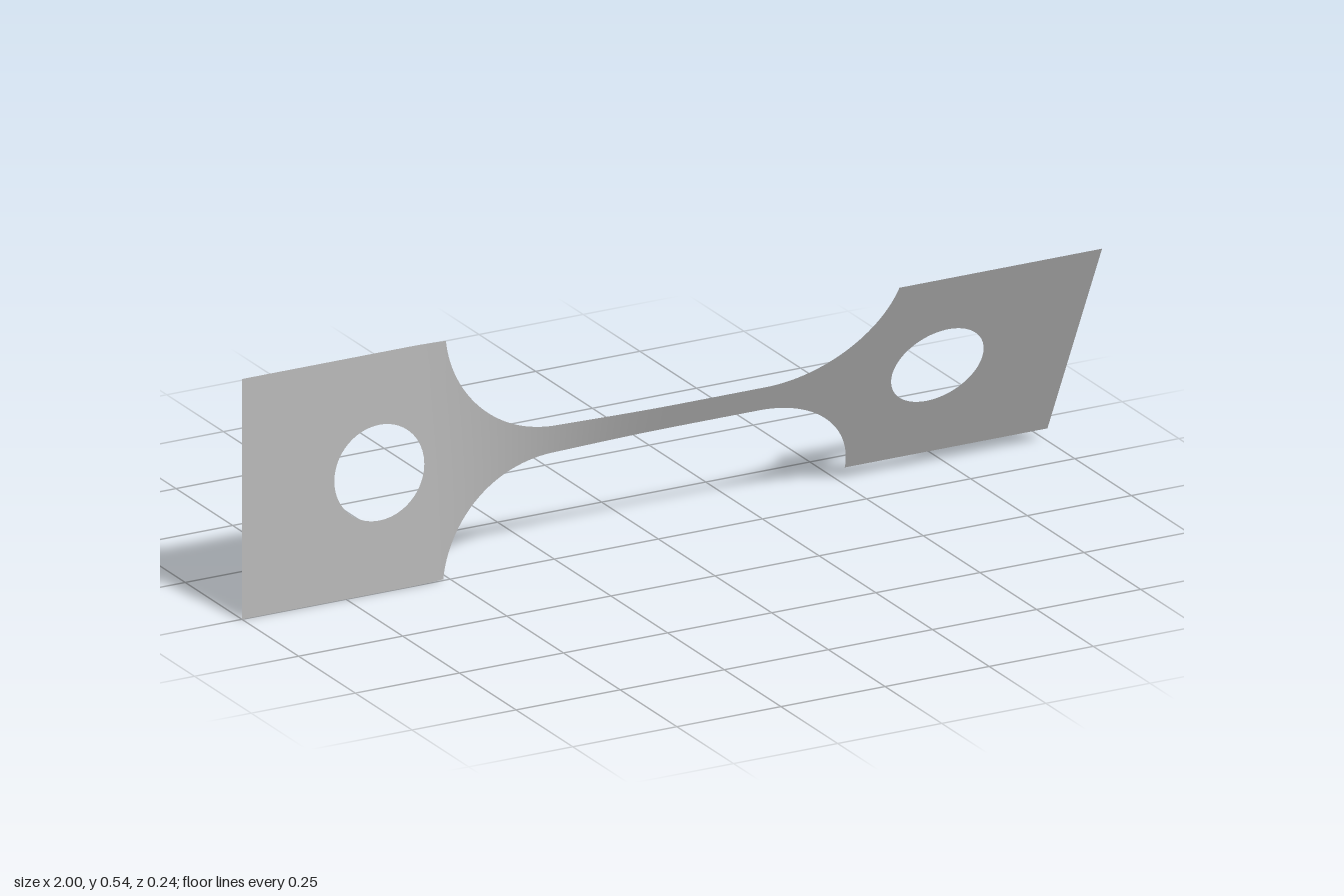
import * as THREE from 'three';

const HALF = 0.271;          // half height of the tabs, also the height of the twist axis
const TAB_IN = 0.513;        // inner edge of each tab
const HOLE_X = 0.67, HOLE_R = 0.108;
const FILLET = { x: 0.25, h: 0.3, r: 0.265 };
const TWIST = THREE.MathUtils.degToRad(26.4);

// Twist a flat point (x, h) about the long axis
function twist(x, h) {
  const a = TWIST * THREE.MathUtils.smoothstep(x, -0.6, 0.05);
  return [x, HALF + h * Math.cos(a), h * Math.sin(a)];
}

// Grid surface from a rule giving flat (x, h) for u, v in 0..1
function sheet(nu, nv, rule) {
  const pos = [], idx = [];
  for (let j = 0; j <= nv; j++) {
    for (let i = 0; i <= nu; i++) {
      pos.push(...twist(...rule(i / nu, j / nv)));
      if (i < nu && j < nv) {
        const a = j * (nu + 1) + i, b = a + 1, c = a + nu + 1, d = c + 1;
        idx.push(a, b, d, a, d, c);
      }
    }
  }
  const g = new THREE.BufferGeometry();
  g.setAttribute('position', new THREE.Float32BufferAttribute(pos, 3));
  g.setIndex(idx);
  g.computeVertexNormals();
  return g;
}

// Square tab with a round hole: rays run from the hole rim to the outline
function tabGeometry(side) {
  const x0 = side < 0 ? -1 : TAB_IN, x1 = side < 0 ? -TAB_IN : 1;
  const corners = [[x0, -HALF], [x1, -HALF], [x1, HALF], [x0, HALF]];
  const cx = side * HOLE_X;
  return sheet(8, 96, (u, v) => {
    const s = v * 4, k = Math.floor(s) % 4, t = s - Math.floor(s);
    const p = corners[k], q = corners[(k + 1) % 4];
    const ox = p[0] + (q[0] - p[0]) * t, oh = p[1] + (q[1] - p[1]) * t;
    const a = Math.atan2(oh, ox - cx);
    const ix = cx + HOLE_R * Math.cos(a), ih = HOLE_R * Math.sin(a);
    return [ix + (ox - ix) * u, ih + (oh - ih) * u];
  });
}

// Half height of the neck, flaring by an arc at both ends
function neckHalf(x) {
  const d = Math.max(0, Math.abs(x) - FILLET.x);
  return Math.min(HALF, FILLET.h - Math.sqrt(Math.max(0, FILLET.r ** 2 - d * d)));
}

export function createModel() {
  const group = new THREE.Group();
  group.name = 'twistedStrip';
  const grey = new THREE.MeshStandardMaterial({ color: 0xb8b8b8, side: THREE.DoubleSide });
  grey.name = 'grey';

  const add = (name, geometry) => {
    const mesh = new THREE.Mesh(geometry, grey);
    mesh.name = name;
    group.add(mesh);
  };

  add('rightTab', tabGeometry(-1));
  add('leftTab', tabGeometry(1));
  // Columns crowd toward the ends, where the arcs are steep
  add('neck', sheet(120, 16, (u, v) => {
    const x = -TAB_IN * Math.cos(Math.PI * u);
    return [x, neckHalf(x) * (2 * v - 1)];
  }));
  return group;
}
